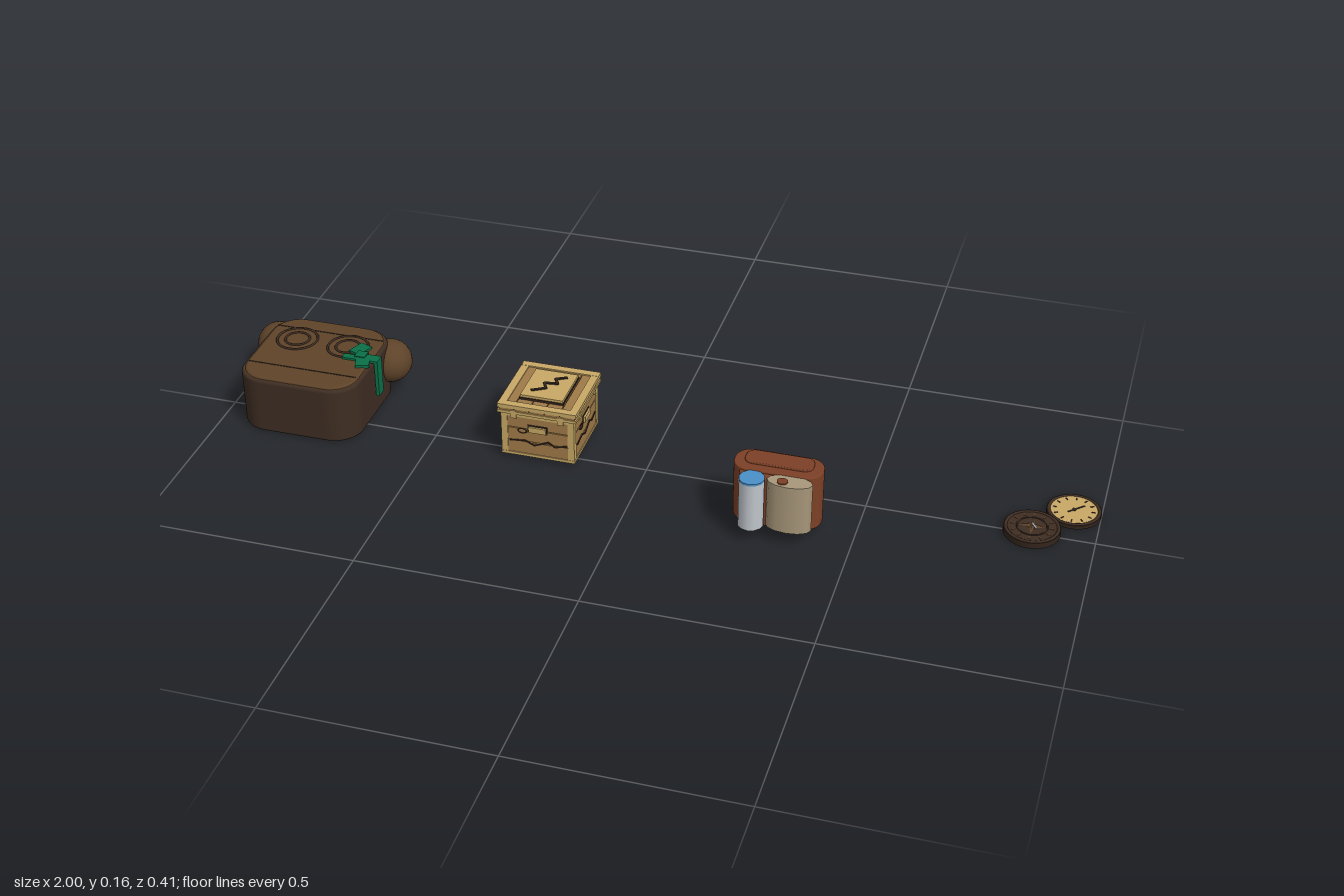
import * as THREE from 'three';

const mat = (name, color) => Object.assign(new THREE.MeshStandardMaterial({ color }), { name });
const M = {
  hide: mat('dark hide', 0x3e2d22), brown: mat('warm brown', 0x5e4329), green: mat('ribbon green', 0x0a7048),
  lightWood: mat('light wood', 0xc8a866), wood: mat('plank wood', 0xa07a48), line: mat('dark line', 0x33251c),
  leather: mat('leather', 0x7c4026), silver: mat('pale glass', 0xc0c6cc), blue: mat('blue cap', 0x4a90c8),
  paper: mat('parchment', 0xa8977a),
};

function mesh(parent, name, geo, material, x = 0, y = 0, z = 0) {
  const m = new THREE.Mesh(geo, material);
  m.name = name;
  m.position.set(x, y, z);
  parent.add(m);
  return m;
}
const box = (p, name, m, w, h, d, x, y, z) => mesh(p, name, new THREE.BoxGeometry(w, h, d), m, x, y, z);
const disc = (p, name, m, r, h, x, y, z, n = 32) => mesh(p, name, new THREE.CylinderGeometry(r, r, h, n), m, x, y, z);

function group(parent, name, x = 0, y = 0, z = 0) {
  const g = new THREE.Group();
  g.name = name;
  g.position.set(x, y, z);
  parent.add(g);
  return g;
}

function roundRect(w, d, r) {
  const s = new THREE.Shape(), a = w / 2, b = d / 2;
  s.moveTo(-a + r, -b);
  s.lineTo(a - r, -b);
  s.absarc(a - r, -b + r, r, -Math.PI / 2, 0);
  s.absarc(a - r, b - r, r, 0, Math.PI / 2);
  s.absarc(-a + r, b - r, r, Math.PI / 2, Math.PI);
  s.absarc(-a + r, -b + r, r, Math.PI, Math.PI * 1.5);
  return s;
}

// Upright slab with rounded corners; bevel softens its top and bottom rims
function slab(p, name, m, w, d, r, y0, y1, bevel, x, z) {
  const geo = new THREE.ExtrudeGeometry(roundRect(w - 2 * bevel, d - 2 * bevel, r - bevel), {
    depth: y1 - y0 - 2 * bevel, bevelEnabled: bevel > 0, bevelSize: bevel,
    bevelThickness: bevel, bevelSegments: 3, curveSegments: 8,
  });
  geo.rotateX(-Math.PI / 2);
  return mesh(p, name, geo, m, x, y0 + bevel, z);
}

// Thin painted line in the XY plane of its parent
function zigzag(p, name, pts, width = 0.004) {
  for (let i = 1; i < pts.length; i++) {
    const [x0, y0] = pts[i - 1], [x1, y1] = pts[i];
    const m = box(p, name, M.line, Math.hypot(x1 - x0, y1 - y0) + width / 2, width, 0.003, (x0 + x1) / 2, (y0 + y1) / 2, 0);
    m.rotation.z = Math.atan2(y1 - y0, x1 - x0);
  }
}

function bearChest(root) {
  const g = group(root, 'bearChest', -0.808, 0, -0.048);
  slab(g, 'body', [M.brown, M.hide], 0.285, 0.285, 0.065, 0.003, 0.138, 0.006, 0, 0);
  slab(g, 'topPanel', M.brown, 0.27, 0.27, 0.06, 0.125, 0.143, 0.005, 0, 0);
  for (const z of [-0.09, 0.075]) box(g, 'topSeam', M.line, 0.262, 0.002, 0.003, 0, 0.143, z);
  for (const s of [-1, 1]) {
    mesh(g, 'ear', new THREE.SphereGeometry(0.051, 24, 16), M.brown, s * 0.14, 0.083, -0.107);
    // ringed eyes
    for (const r of [0.047, 0.028]) {
      const ring = mesh(g, 'eyeRing', new THREE.TorusGeometry(r, 0.003, 6, 32), M.hide, s * 0.063, 0.143, -0.045);
      ring.rotation.x = Math.PI / 2;
    }
  }
  // bow with tails hanging over the left side
  const bow = group(g, 'bow', 0.11, 0.145, -0.012);
  box(bow, 'bowKnot', M.green, 0.025, 0.012, 0.025, 0, 0, 0);
  for (const s of [-1, 1]) {
    const loop = box(bow, 'bowLoop', M.green, 0.032, 0.008, 0.042, s * 0.012, 0, s * 0.024);
    loop.rotation.y = s * 0.35;
  }
  box(bow, 'bowTail', M.green, 0.042, 0.006, 0.026, 0.025, 0, 0.006);
  box(bow, 'bowTail', M.green, 0.008, 0.092, 0.026, 0.042, -0.043, 0.006);
  box(bow, 'bowTail', M.green, 0.035, 0.006, 0.018, -0.022, 0, 0.012);
}

function crate(root) {
  const g = group(root, 'crate', -0.242, 0, -0.052);
  const W = 0.168, D = 0.176;
  box(g, 'core', M.line, W - 0.012, 0.1, D - 0.012, 0, 0.068, 0);
  box(g, 'underside', M.wood, W - 0.004, 0.006, D - 0.004, 0, 0.014, 0);
  for (const sx of [-1, 1]) for (const sz of [-1, 1])
    box(g, 'cornerPost', M.lightWood, 0.015, 0.11, 0.015, sx * (W / 2 - 0.006), 0.067, sz * (D / 2 - 0.006));

  for (let i = 0; i < 4; i++) {
    const front = i % 2 === 0, w = front ? W : D;
    const side = group(g, 'sideWall');
    side.rotation.y = i * Math.PI / 2;
    const off = (front ? D : W) / 2;
    for (let k = 0; k < 3; k++)
      box(side, 'plank', M.wood, w - 0.01, 0.031, 0.008, 0, 0.034 + k * 0.0335, off - 0.004);
    box(side, 'bottomRail', M.lightWood, w, 0.007, 0.01, 0, 0.016, off - 0.003);
    box(side, 'topRail', M.lightWood, w, 0.009, 0.01, 0, 0.119, off - 0.003);
    box(side, 'handleShadow', M.line, 0.046, 0.02, 0.003, 0, 0.087, off);
    box(side, 'handle', M.lightWood, 0.04, 0.014, 0.008, 0, 0.087, off + 0.002);
    const paint = group(side, 'crackMark', 0, 0, off + 0.001);
    zigzag(paint, 'crack', [[-0.065, 0.05], [-0.03, 0.054], [-0.008, 0.044], [0.025, 0.058], [0.04, 0.048], [0.067, 0.055]], 0.003);
    const knot = mesh(side, 'woodKnot', new THREE.TorusGeometry(0.01, 0.0015, 6, 18), M.line, -0.036, 0.079, off + 0.001);
    knot.scale.y = 0.6;
    for (const s of [-1, 1]) box(side, 'latch', M.lightWood, 0.014, 0.02, 0.008, s * 0.055, 0.122, off + 0.002);
  }

  // lid
  box(g, 'lidRim', M.lightWood, 0.184, 0.007, 0.188, 0, 0.126, 0);
  box(g, 'lidCore', M.line, 0.176, 0.012, 0.18, 0, 0.133, 0);
  for (let k = 0; k < 5; k++) box(g, 'lidPlank', M.wood, 0.0335, 0.013, 0.183, (k - 2) * 0.0355, 0.1355, 0);
  for (const s of [-1, 1]) {
    box(g, 'lidBorder', M.lightWood, 0.184, 0.009, 0.018, 0, 0.1405, s * 0.085);
    box(g, 'lidBorder', M.lightWood, 0.018, 0.009, 0.188, s * 0.083, 0.14, 0);
  }
  box(g, 'signShadow', M.line, 0.104, 0.006, 0.118, 0, 0.144, 0);
  box(g, 'signBoard', M.lightWood, 0.1, 0.008, 0.114, 0, 0.149, 0);
  const sign = group(g, 'signMark', 0, 0.155, 0);
  sign.rotation.x = -Math.PI / 2;
  zigzag(sign, 'boltMark', [[-0.03, -0.035], [-0.002, -0.018], [-0.012, 0.002], [0.018, 0.006], [0.008, 0.024], [0.03, 0.036]], 0.006);
}

function satchel(root) {
  const g = group(root, 'satchel', 0.328, 0, 0);
  slab(g, 'pouch', M.leather, 0.195, 0.08, 0.036, 0.022, 0.157, 0.003, 0, 0.114);
  slab(g, 'frontPocket', M.leather, 0.145, 0.06, 0.025, 0.032, 0.152, 0.003, -0.005, 0.145);
  slab(g, 'flap', M.leather, 0.15, 0.05, 0.02, 0.15, 0.161, 0.002, 0, 0.107);
  // bottle and rolled sheet held at the front
  disc(g, 'bottle', M.silver, 0.028, 0.115, -0.044, 0.0935, 0.18, 12);
  disc(g, 'bottleCap', M.blue, 0.028, 0.005, -0.044, 0.153, 0.18, 12);
  const roll = disc(g, 'parchmentRoll', M.paper, 0.05, 0.117, 0.037, 0.0965, 0.173, 12);
  roll.scale.z = 0.48;
  disc(g, 'rollKnob', M.leather, 0.012, 0.003, 0.022, 0.156, 0.178, 12);
}

// Flat round case with ticks around its dial
function dial(root, name, x, z, r, h, face, ink) {
  const g = group(root, name, x, 0, z);
  disc(g, 'case', M.line, r, h, 0, 0.002 + h / 2, 0, 40);
  const rim = mesh(g, 'rim', new THREE.TorusGeometry(r - 0.005, 0.004, 8, 40), M.hide, 0, h + 0.001, 0);
  rim.rotation.x = Math.PI / 2;
  disc(g, 'face', face, r - 0.009, 0.002, 0, h + 0.002, 0, 40);
  for (let i = 0; i < 12; i++) {
    const a = i * Math.PI / 6, t = r - 0.018;
    const tick = box(g, 'tick', ink, 0.003, 0.002, 0.008, Math.sin(a) * t, h + 0.003, Math.cos(a) * t);
    tick.rotation.y = a;
  }
  return g;
}

function compass(root) {
  const base = dial(root, 'compassBase', 0.862, -0.006, 0.062, 0.014, M.hide, M.brown);
  const ring = mesh(base, 'innerRing', new THREE.TorusGeometry(0.033, 0.002, 6, 32), M.line, 0, 0.017, 0);
  ring.rotation.x = Math.PI / 2;
  // four-pointed star rising to the pivot
  for (let i = 0; i < 2; i++) {
    const star = mesh(base, 'star', new THREE.ConeGeometry(0.03, 0.009, 4), M.brown, 0, 0.021, 0);
    star.scale.set(i ? 1 : 0.25, 1, i ? 0.25 : 1);
  }
  const needle = box(base, 'needle', M.silver, 0.004, 0.002, 0.022, 0.005, 0.025, 0.008);
  needle.rotation.y = 0.6;
  const lid = dial(root, 'compassLid', 0.94, -0.1, 0.06, 0.009, M.lightWood, M.line);
  const hand = box(lid, 'hand', M.line, 0.004, 0.002, 0.045, 0.004, 0.012, -0.004);
  hand.rotation.y = -0.8;
  disc(lid, 'handPivot', M.line, 0.005, 0.003, 0, 0.012, 0, 12);
}

export function createModel() {
  const root = new THREE.Group();
  root.name = 'adventureProps';
  bearChest(root);
  crate(root);
  satchel(root);
  compass(root);
  return root;
}
